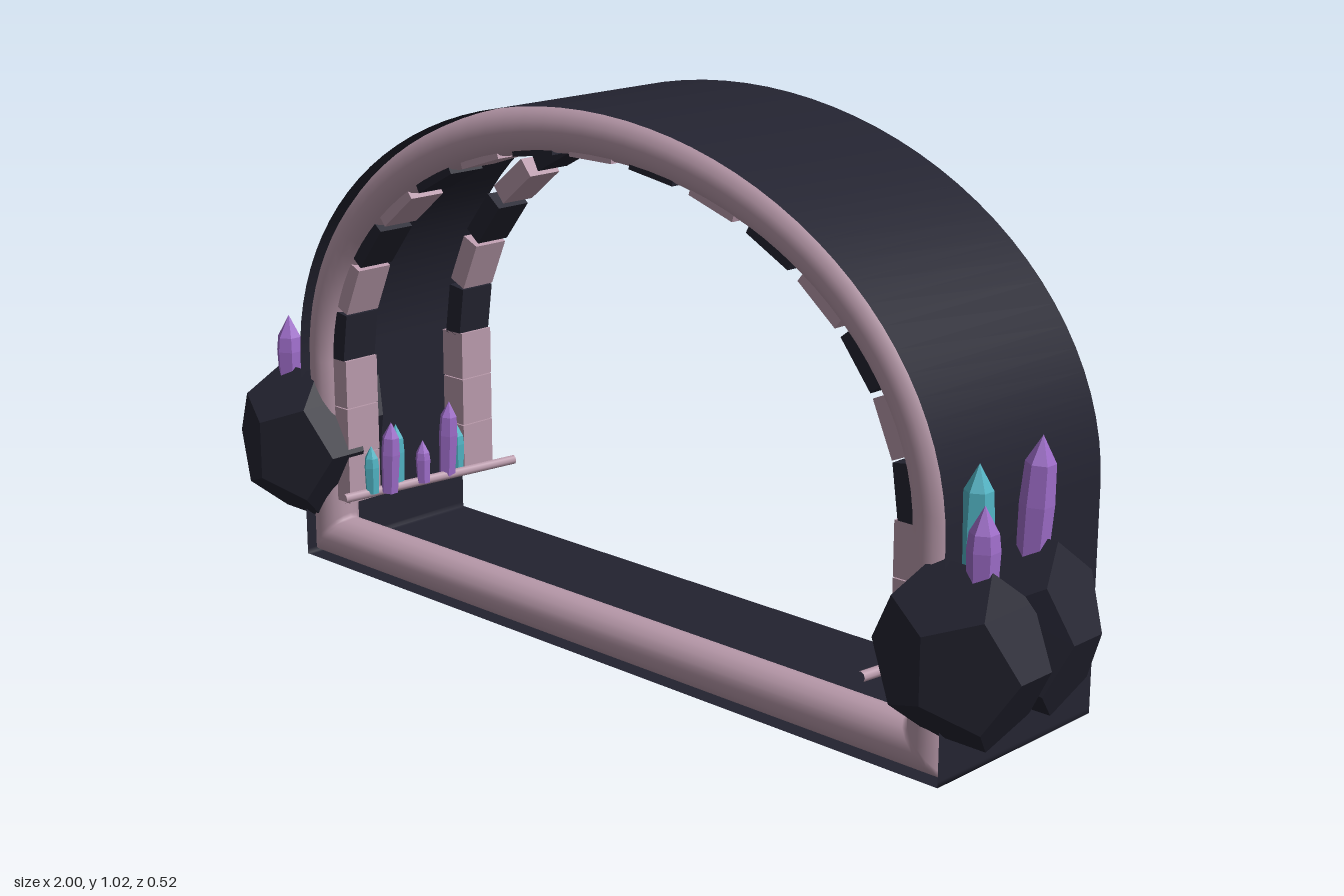
import * as THREE from 'three';

const mat = (name, color, side = THREE.FrontSide) => {
  const m = new THREE.MeshStandardMaterial({ color, side });
  m.name = name;
  return m;
};

// Arch outline (half width, spring height, arch rise) and depth range
const W = 0.82, SPRING = 0.42, RISE = 0.6, FRONT = 0.17, BACK = -0.26;

// Closed outline, counterclockwise from the front, moved inwards by d
function outline(d) {
  const x = W - d, pts = [[x - 0.01, d], [x, d], [x, d + 0.01]];
  for (let i = 0; i <= 48; i++) {
    const t = (i / 48) * Math.PI;
    pts.push([x * Math.cos(t), SPRING + (RISE - d) * Math.sin(t)]);
  }
  pts.push([-x, d + 0.01], [-x, d], [-x + 0.01, d]);
  return pts;
}

// Skin a list of sections, each given by its inset and its z
function skin(sections, closed) {
  const loops = sections.map(([d, z]) => outline(d).map(([x, y]) => [x, y, z]));
  const n = loops[0].length, m = loops.length, pos = [], idx = [];
  for (let i = 0; i < n; i++) for (let j = 0; j < m; j++) pos.push(...loops[j][i]);
  for (let i = 0; i < n; i++) {
    for (let j = 0; j < (closed ? m : m - 1); j++) {
      const i2 = (i + 1) % n, j2 = (j + 1) % m;
      const a = i * m + j, b = i2 * m + j, c = i2 * m + j2, e = i * m + j2;
      idx.push(a, b, c, a, c, e);
    }
  }
  const g = new THREE.BufferGeometry();
  g.setAttribute('position', new THREE.Float32BufferAttribute(pos, 3));
  g.setIndex(idx);
  g.computeVertexNormals();
  return g;
}

export function createModel() {
  const model = new THREE.Group();
  model.name = 'crystalArch';
  const darkShell = mat('darkShell', 0x232330, THREE.DoubleSide);
  const pink = mat('dustyPink', 0xb899aa);
  const purple = mat('purpleCrystal', 0x9d6cc8);
  const teal = mat('tealCrystal', 0x50b2c2);
  const dark = darkShell;
  for (const m of [pink, purple, teal]) m.flatShading = false;

  const add = (name, geo, material, parent = model) => {
    const mesh = new THREE.Mesh(geo, material);
    mesh.name = name;
    parent.add(mesh);
    return mesh;
  };

  // Thin tunnel shell with floor
  add('tunnelShell', skin([[0, BACK], [0, FRONT]], false), darkShell);

  // Round rim just inside the front edge
  const rim = [];
  for (let j = 0; j < 16; j++) {
    const t = (j / 16) * Math.PI * 2;
    rim.push([0.045 - 0.0445 * Math.cos(t), FRONT - 0.0445 + 0.0445 * Math.sin(t)]);
  }
  add('frontRim', skin(rim, true), pink);

  // Two rows of lining blocks: alternating arch stones on stacked side posts
  const stone = new THREE.BoxGeometry(0.105, 0.042, 0.08);
  const post = new THREE.BoxGeometry(0.06, 0.098, 0.08);
  const A = 0.725, B = 0.53, COUNT = 15;
  for (const z of [0.11, -0.2]) {
    const row = new THREE.Group();
    row.name = z > 0 ? 'frontStones' : 'backStones';
    model.add(row);
    for (let i = 0; i < COUNT; i++) {
      const t = ((i + 0.5) / COUNT) * Math.PI;
      const s = add('archStone', stone, i % 2 ? pink : dark, row);
      s.position.set(A * Math.cos(t), SPRING + B * Math.sin(t), z);
      s.rotation.z = Math.atan2(B * Math.cos(t), -A * Math.sin(t));
    }
    for (const side of [-1, 1]) {
      for (let k = 0; k < 3; k++) {
        add('postStone', post, pink, row).position.set(side * 0.73, 0.18 + k * 0.1, z);
      }
    }
  }

  // Six-sided crystal with a pointed tip, standing on its base
  const crystal = (parent, material, x, y, z, r, h, lean = 0) => {
    const tip = Math.min(r * 1.6, h * 0.35);
    const profile = [[0, 0], [r * 0.85, 0], [r, h * 0.55], [r * 0.88, h - tip], [0, h]];
    const g = new THREE.LatheGeometry(profile.map(p => new THREE.Vector2(...p)), 6).toNonIndexed();
    g.computeVertexNormals();
    const c = add('crystal', g, material, parent);
    c.position.set(x, y, z);
    c.rotation.z = lean;
  };

  // Faceted boulder stretched to its half sizes
  const boulder = (parent, x, y, z, rx, ry, rz) => {
    const b = add('boulder', new THREE.DodecahedronGeometry(1 / 0.934), dark, parent);
    b.position.set(x, y, z);
    b.scale.set(rx, ry, rz);
  };

  for (const s of [-1, 1]) {
    // Boulders with crystals outside the arch
    const outer = new THREE.Group();
    outer.name = s > 0 ? 'leftBoulders' : 'rightBoulders';
    model.add(outer);
    boulder(outer, s * 0.845, 0.237, 0.155, 0.15, 0.153, 0.105);
    boulder(outer, s * 0.893, 0.267, 0.025, 0.107, 0.15, 0.1);
    crystal(outer, purple, s * 0.885, 0.33, 0.03, 0.029, 0.26, -s * 0.06);
    crystal(outer, teal, s * 0.835, 0.3, 0.107, 0.028, 0.245);
    crystal(outer, purple, s * 0.88, 0.33, 0.15, 0.028, 0.165);

    // Low rod and crystal cluster inside the arch
    const inner = new THREE.Group();
    inner.name = s > 0 ? 'leftCluster' : 'rightCluster';
    model.add(inner);
    const dx = s * 0.675;
    const path = new THREE.LineCurve3(
      new THREE.Vector3(dx - 0.025, 0.145, 0.165), new THREE.Vector3(dx + 0.025, 0.145, -0.255));
    add('floorRod', new THREE.TubeGeometry(path, 1, 0.01, 8), pink, inner);
    crystal(inner, purple, s * 0.67, 0.145, 0.07, 0.02, 0.15, s * 0.06);
    crystal(inner, teal, s * 0.695, 0.145, 0.03, 0.018, 0.13);
    crystal(inner, teal, s * 0.69, 0.145, 0.1, 0.016, 0.1);
    crystal(inner, purple, s * 0.675, 0.145, -0.09, 0.02, 0.16, s * 0.06);
    crystal(inner, teal, s * 0.69, 0.145, -0.13, 0.017, 0.1);
    crystal(inner, purple, s * 0.67, 0.145, -0.02, 0.016, 0.09);
  }
  return model;
}
